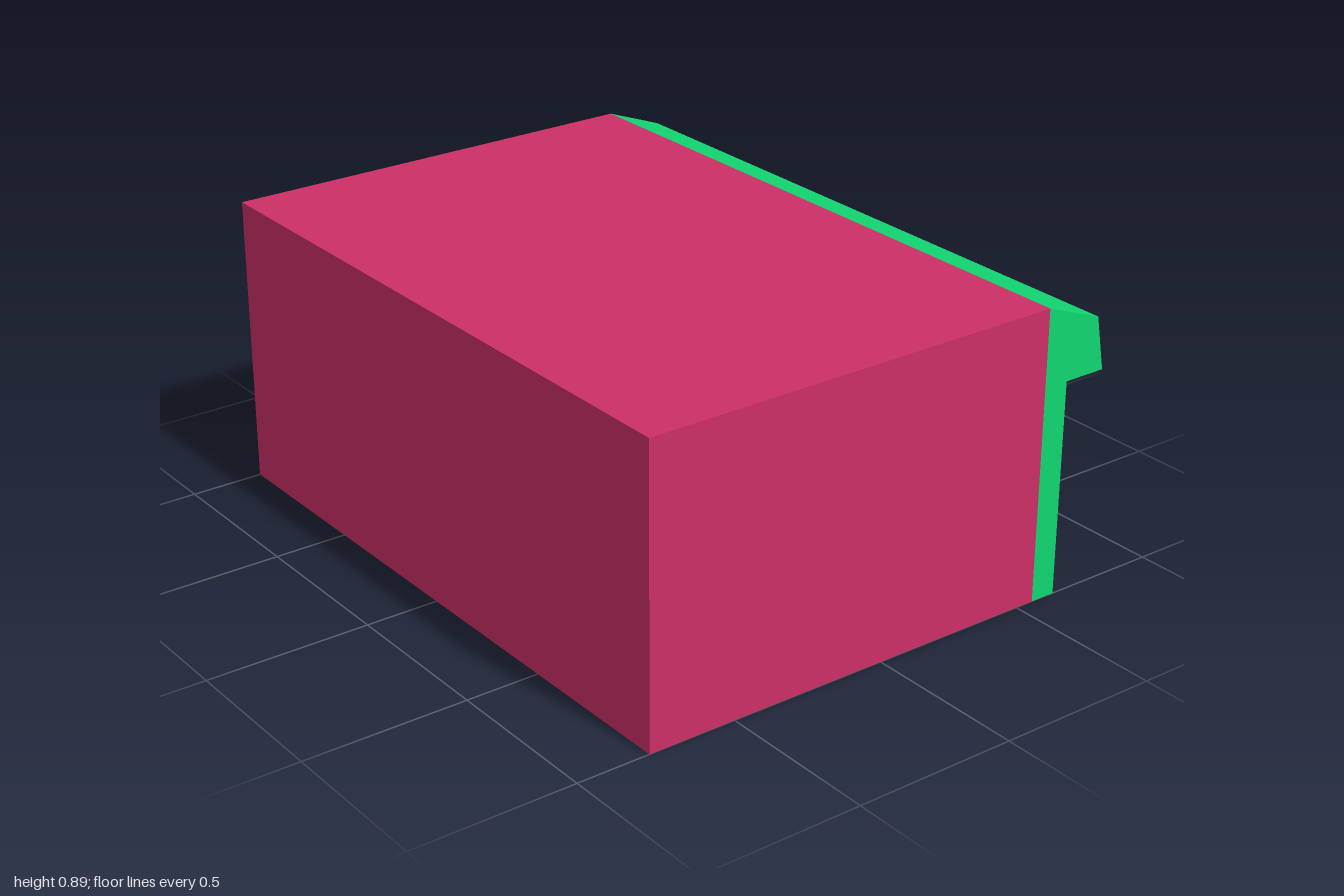
import * as THREE from 'three';

const material = (color) => new THREE.MeshStandardMaterial({ color, flatShading: true });
const pink = material(0xcc2f66);
const green = material(0x11d670);
const yellow = material(0xcac20e);

// Closed outline from [x, y] points
const outline = (points) => points.map(([x, y]) => new THREE.Vector2(x, y));
const rect = (z0, z1, y0, y1) => [[-z0, y0], [-z1, y0], [-z1, y1], [-z0, y1]];

export function createModel() {
  const group = new THREE.Group();

  const add = (name, geometry, mat) => {
    const mesh = new THREE.Mesh(geometry, mat);
    mesh.name = name;
    group.add(mesh);
    return mesh;
  };

  // Slab facing +x: points are [-z, y], thickness runs from x0 to x1
  const slab = (name, points, holes, x0, x1, mat) => {
    const shape = new THREE.Shape(outline(points));
    holes.forEach((h) => shape.holes.push(new THREE.Path(outline(h))));
    const geometry = new THREE.ExtrudeGeometry(shape, { depth: x1 - x0, bevelEnabled: false });
    geometry.rotateY(Math.PI / 2).translate(x0, 0, 0);
    return add(name, geometry, mat);
  };

  // Main building block
  const body = new THREE.BoxGeometry(1.335, 0.89, 2);
  body.translate(-0.1075, 0.445, 0);
  add('buildingBody', body, pink);

  // Sloped canopy running the full width of the shop front
  const canopy = new THREE.Shape(outline([
    [0.56, 0.655], [0.775, 0.655], [0.745, 0.82], [0.56, 0.89],
  ]));
  const canopyGeometry = new THREE.ExtrudeGeometry(canopy, { depth: 2, bevelEnabled: false });
  canopyGeometry.translate(0, 0, -1);
  add('canopy', canopyGeometry, green);

  // Window wall with green edges and reveals
  const windowOpening = rect(0.86, -0.3, 0.257, 0.605);
  slab('windowWall', rect(1, -0.43, 0, 0.655), [windowOpening], 0.56, 0.64, [pink, green]);
  slab('windowGlass', windowOpening, [], 0.56, 0.6, yellow);

  // Pink return where the wall steps back to the doorway
  const wallReturn = new THREE.BoxGeometry(0.08, 0.655, 0.003);
  wallReturn.translate(0.6, 0.3275, -0.4315);
  add('wallReturn', wallReturn, pink);

  // Window sill with splayed ends
  slab('windowSill', [[-0.9, 0.21], [0.34, 0.21], [0.3, 0.257], [-0.86, 0.257]],
    [], 0.64, 0.72, green);

  // Door surround, open at the bottom
  slab('doorSurround', [
    [0.43, 0], [0.485, 0], [0.485, 0.59], [0.955, 0.59],
    [0.955, 0], [1, 0], [1, 0.655], [0.43, 0.655],
  ], [], 0.56, 0.585, [pink, green]);

  // Door leaf with a glazed opening and a sunken lower panel
  const doorWindow = rect(-0.562, -0.873, 0.29, 0.573);
  const doorPanel = rect(-0.555, -0.885, 0.012, 0.208);
  slab('doorLeaf', rect(-0.485, -0.955, 0, 0.59), [doorWindow, doorPanel], 0.56, 0.57, green);
  slab('doorGlass', doorWindow, [], 0.555, 0.562, yellow);
  slab('doorPanel', doorPanel, [], 0.555, 0.564, green);

  return group;
}
